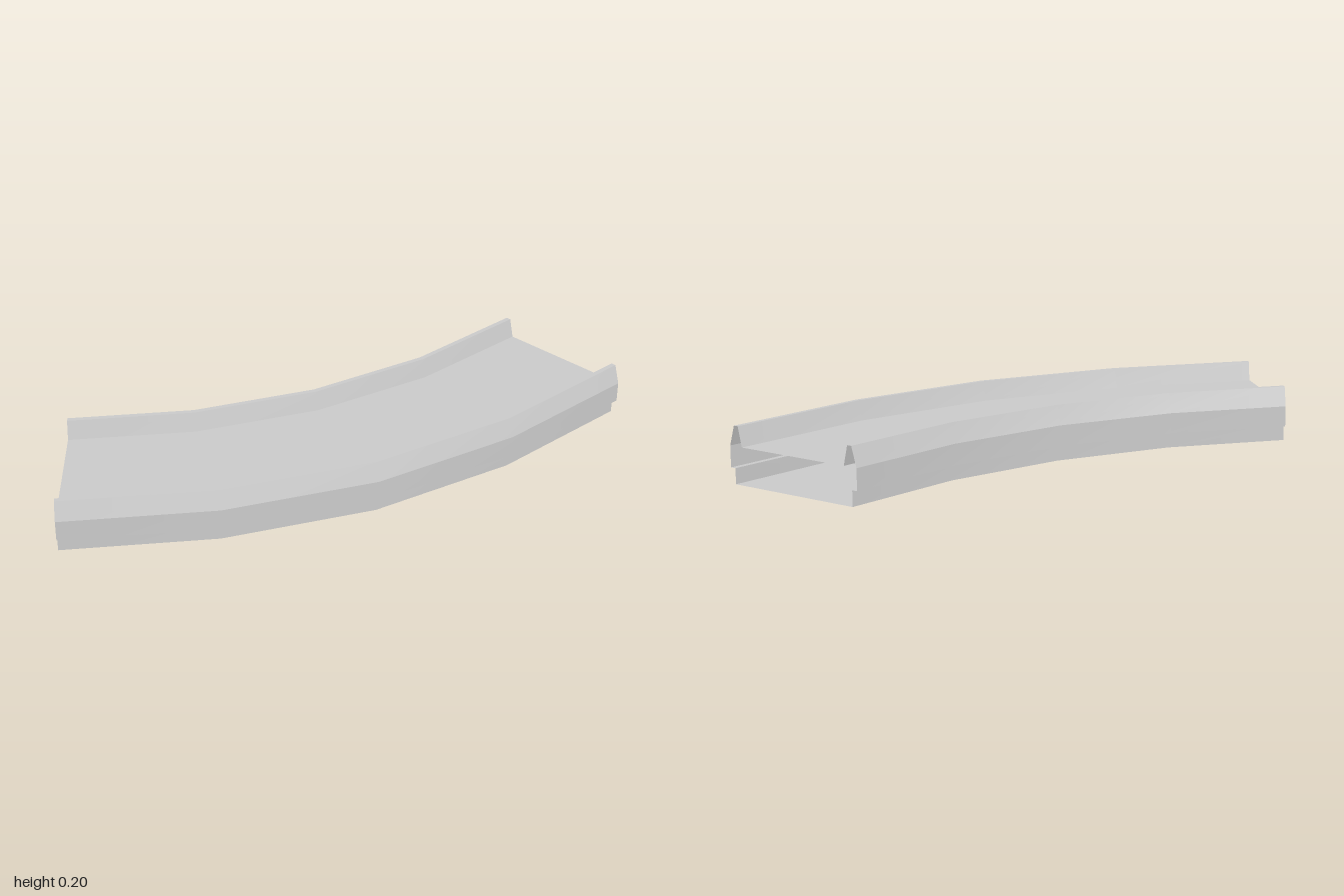
import * as THREE from 'three';
import { mergeGeometries } from 'three/addons/utils/BufferGeometryUtils.js';

// Stations along the bend: outer front edge and outer back edge as [x, z]
const FRONT = [[-1, -0.225], [-0.575, 0.125], [-0.085, 0.395], [0.445, 0.55], [1, 0.605]];
const BACK = [[-0.61, -0.61], [-0.27, -0.33], [0.12, -0.12], [0.55, 0.008], [1, 0.055]];
const WIDTH = 0.55;

// Half cross-section as [distance in from the outer edge, height]
const WALL = [[0.02, 0], [0.02, 0.055]];
const RAIL = [[0.02, 0.055], [0, 0.055], [0, 0.13], [0.02, 0.2], [0.037, 0.2], [0.053, 0.13]];

const mirror = (profile) => profile.map(([d, y]) => [WIDTH - d, y]).reverse();

// Sweeps one profile segment along the bend: smooth lengthwise, sharp at its edges
function strip(a, b) {
  const positions = [], index = [];
  FRONT.forEach(([fx, fz], i) => {
    const [bx, bz] = BACK[i];
    for (const [d, y] of [a, b]) {
      const t = d / WIDTH;
      positions.push(fx + (bx - fx) * t, y, fz + (bz - fz) * t);
    }
    if (i) {
      const k = 2 * i;
      index.push(k - 2, k, k + 1, k - 2, k + 1, k - 1);
    }
  });
  const geometry = new THREE.BufferGeometry();
  geometry.setAttribute('position', new THREE.Float32BufferAttribute(positions, 3));
  geometry.setIndex(index);
  geometry.computeVertexNormals();
  return geometry;
}

export function createModel() {
  const group = new THREE.Group();
  group.name = 'curvedTrack';
  const material = new THREE.MeshStandardMaterial({ color: 0xcccccc, side: THREE.DoubleSide });

  function sweep(name, profile) {
    const strips = profile.slice(1).map((point, i) => strip(profile[i], point));
    const mesh = new THREE.Mesh(mergeGeometries(strips), material);
    mesh.name = name;
    group.add(mesh);
  }

  // Side walls and raised rails, mirrored across the track
  sweep('frontBaseWall', WALL);
  sweep('backBaseWall', mirror(WALL));
  sweep('frontRail', RAIL);
  sweep('backRail', mirror(RAIL));

  // Deck between the rails and the plate underneath; the ends stay open
  sweep('deck', [[0.053, 0.13], [WIDTH - 0.053, 0.13]]);
  sweep('bottomPlate', [[WIDTH - 0.02, 0], [0.02, 0]]);

  return group;
}
